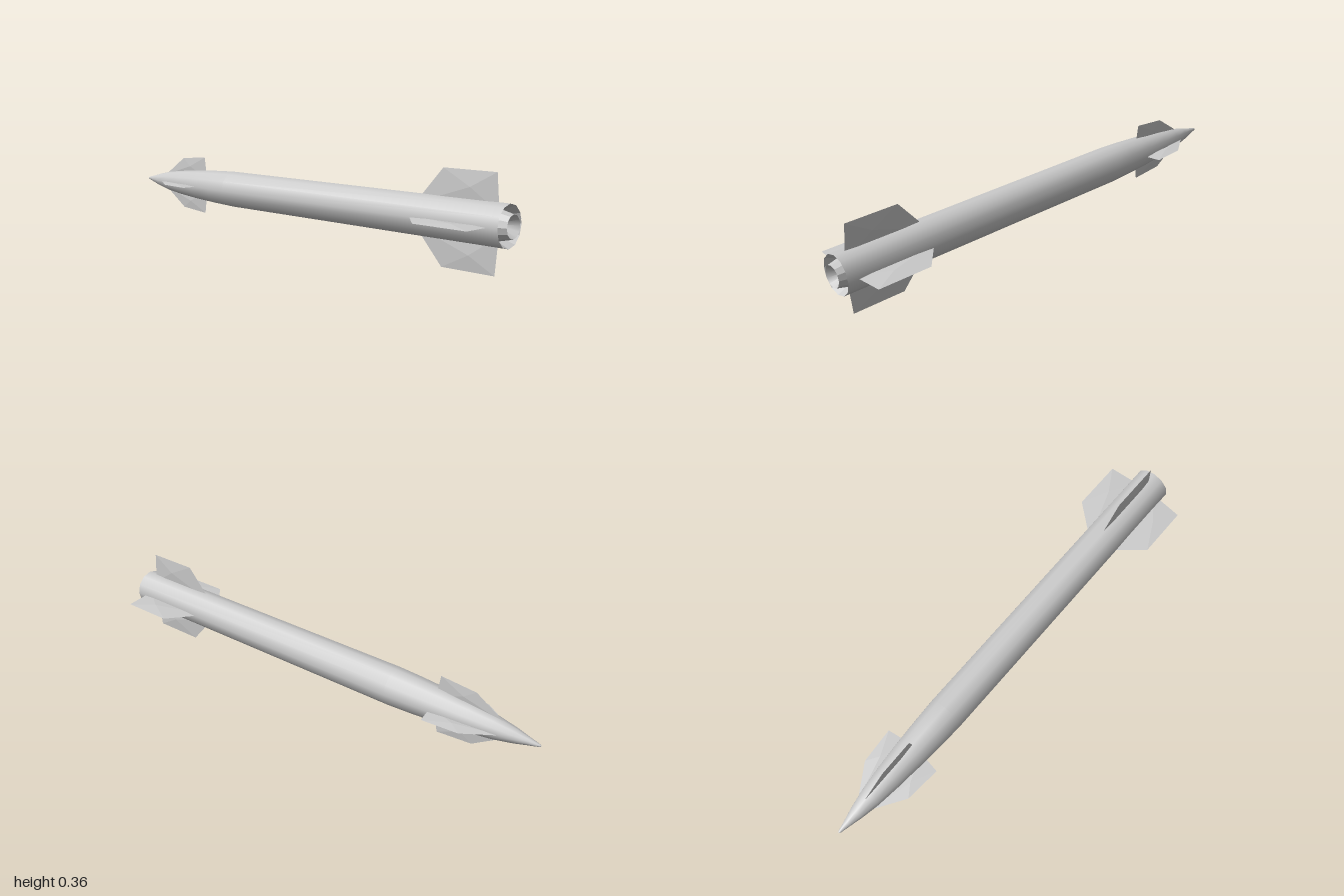
import * as THREE from 'three';

const SIDES = 12;
const smooth = new THREE.MeshStandardMaterial({ color: 0xcccccc });
const faceted = new THREE.MeshStandardMaterial({ color: 0xcccccc, flatShading: true });

// Surface of revolution about z; profile is [radius, z], nose to tail
function revolve(name, profile, material) {
  const points = profile.map(([r, z]) => new THREE.Vector2(r, z));
  const geometry = new THREE.LatheGeometry(points, SIDES).rotateX(Math.PI / 2);
  const mesh = new THREE.Mesh(geometry, material);
  mesh.name = name;
  return mesh;
}

// Sharp-edged fin standing on +y: an outline of [radius, z] raised to a ridge point on both faces
function finGeometry(outline, ridge, halfThickness) {
  const positions = [];
  const [ridgeR, ridgeZ] = ridge;
  outline.forEach(([r, z], i) => {
    const [r2, z2] = outline[(i + 1) % outline.length];
    positions.push(0, r, z, 0, r2, z2, halfThickness, ridgeR, ridgeZ);
    positions.push(0, r2, z2, 0, r, z, -halfThickness, ridgeR, ridgeZ);
  });
  const geometry = new THREE.BufferGeometry();
  geometry.setAttribute('position', new THREE.Float32BufferAttribute(positions, 3));
  geometry.computeVertexNormals();
  return geometry;
}

// Four copies of a fin around the body
function finSet(name, geometry) {
  const set = new THREE.Group();
  set.name = name + 's';
  for (let i = 0; i < 4; i++) {
    const fin = new THREE.Mesh(geometry, faceted);
    fin.name = name;
    fin.rotation.z = i * Math.PI / 2;
    set.add(fin);
  }
  return set;
}

export function createModel() {
  const model = new THREE.Group();
  model.name = 'missile';

  // Pointed nose running into the long tube
  model.add(revolve('body', [
    [0, -1], [0.005, -0.995], [0.016, -0.95], [0.029, -0.9], [0.045, -0.82],
    [0.057, -0.72], [0.067, -0.6], [0.074, -0.48], [0.078, -0.38], [0.078, 0.985],
  ], smooth));

  // Hollow tail end and exhaust nozzle
  model.add(revolve('tailRecess', [[0.078, 0.985], [0.057, 0.94]], faceted));
  model.add(revolve('nozzle', [[0.057, 0.94], [0.043, 1]], faceted));
  model.add(revolve('nozzleBore', [[0.043, 1], [0, 0.92]], smooth));

  // Outlines run rear root, front root, front tip, rear tip
  model.add(finSet('tailFin', finGeometry(
    [[0.04, 0.945], [0.04, 0.595], [0.179, 0.715], [0.179, 0.933]], [0.12, 0.83], 0.0065)));
  model.add(finSet('noseFin', finGeometry(
    [[0.03, -0.565], [0.03, -0.86], [0.115, -0.73], [0.127, -0.58]], [0.08, -0.68], 0.005)));

  // Raise the axis so the lower fins touch the ground
  model.children.forEach((part) => { part.position.y = 0.179; });
  return model;
}
